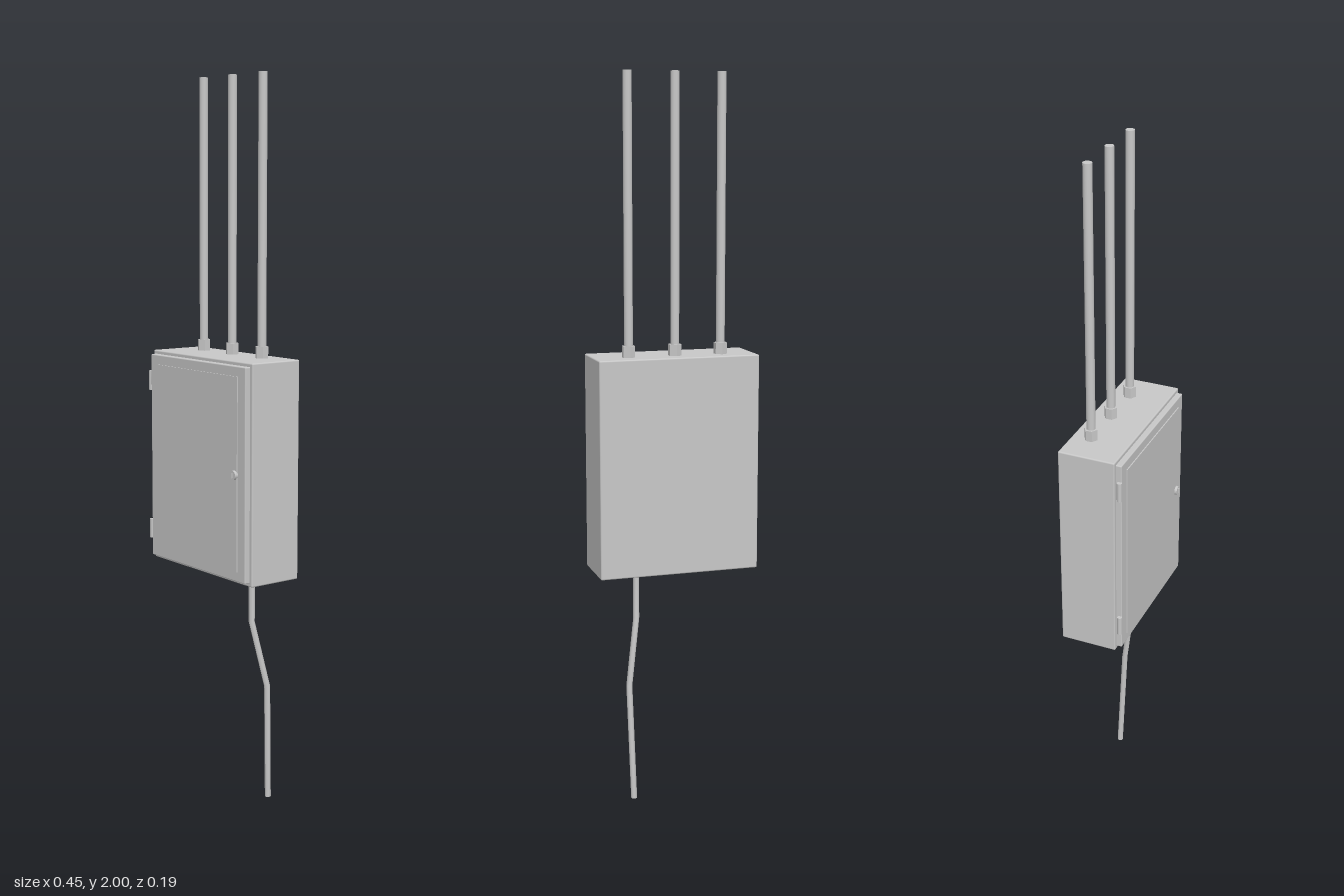
import * as THREE from 'three';
import { RoundedBoxGeometry } from 'three/addons/geometries/RoundedBoxGeometry.js';

export function createModel() {
  const model = new THREE.Group();
  const grey = new THREE.MeshStandardMaterial({ color: 0xc8c8c8 });
  grey.name = 'light grey metal';

  function add(name, geometry, x, y, z) {
    const mesh = new THREE.Mesh(geometry, grey);
    mesh.name = name;
    mesh.position.set(x, y, z);
    model.add(mesh);
    return mesh;
  }
  // Cylinders with hard facets for the hexagonal fittings
  function faceted(rTop, rBottom, h, sides) {
    const g = new THREE.CylinderGeometry(rTop, rBottom, h, sides).toNonIndexed();
    g.computeVertexNormals();
    return g;
  }

  // Cabinet, door and the thin raised panel on the door
  add('cabinet', new RoundedBoxGeometry(0.45, 0.6, 0.16, 2, 0.004), 0, 0.95, -0.016);
  add('door', new RoundedBoxGeometry(0.43, 0.58, 0.02, 2, 0.003), 0, 0.95, 0.07);
  add('doorPanel', new THREE.BoxGeometry(0.366, 0.526, 0.006), 0, 0.95, 0.08);

  // Hinges on the model's right edge
  for (const y of [0.737, 1.165]) {
    add('hingePin', new THREE.CylinderGeometry(0.007, 0.007, 0.055, 10), -0.22, y, 0.076);
    add('hingeLeaf', new THREE.BoxGeometry(0.008, 0.05, 0.008), -0.215, y, 0.072);
  }

  // Lock with key tab
  const lock = add('lock', new THREE.CylinderGeometry(0.013, 0.013, 0.012, 16), 0.172, 0.95, 0.084);
  lock.rotation.x = Math.PI / 2;
  add('lockSlot', new THREE.BoxGeometry(0.004, 0.014, 0.004), 0.172, 0.95, 0.0915);

  // Hexagonal glands and antennas
  for (const x of [-0.13, 0, 0.13]) {
    add('gland', faceted(0.0185, 0.0185, 0.032, 6), x, 1.265, -0.043);
    add('antenna', new THREE.CylinderGeometry(0.012, 0.012, 0.75, 16), x, 1.625, -0.043);
  }

  // Bent cable: the rows of a cylinder are moved onto the path points
  const path = [
    [0.108, 0.66, -0.029], [0.108, 0.515, -0.029],
    [0.138, 0.33, -0.061], [0.129, 0, -0.073],
  ];
  const cable = new THREE.CylinderGeometry(0.0085, 0.0085, 1, 10, 3);
  const pos = cable.attributes.position;
  for (let i = 0; i < pos.count; i++) {
    const [x, y, z] = path[Math.round((0.5 - pos.getY(i)) * 3)];
    pos.setXYZ(i, pos.getX(i) + x, y, pos.getZ(i) + z);
  }
  cable.computeVertexNormals();
  add('cable', cable, 0, 0, 0);

  return model;
}
